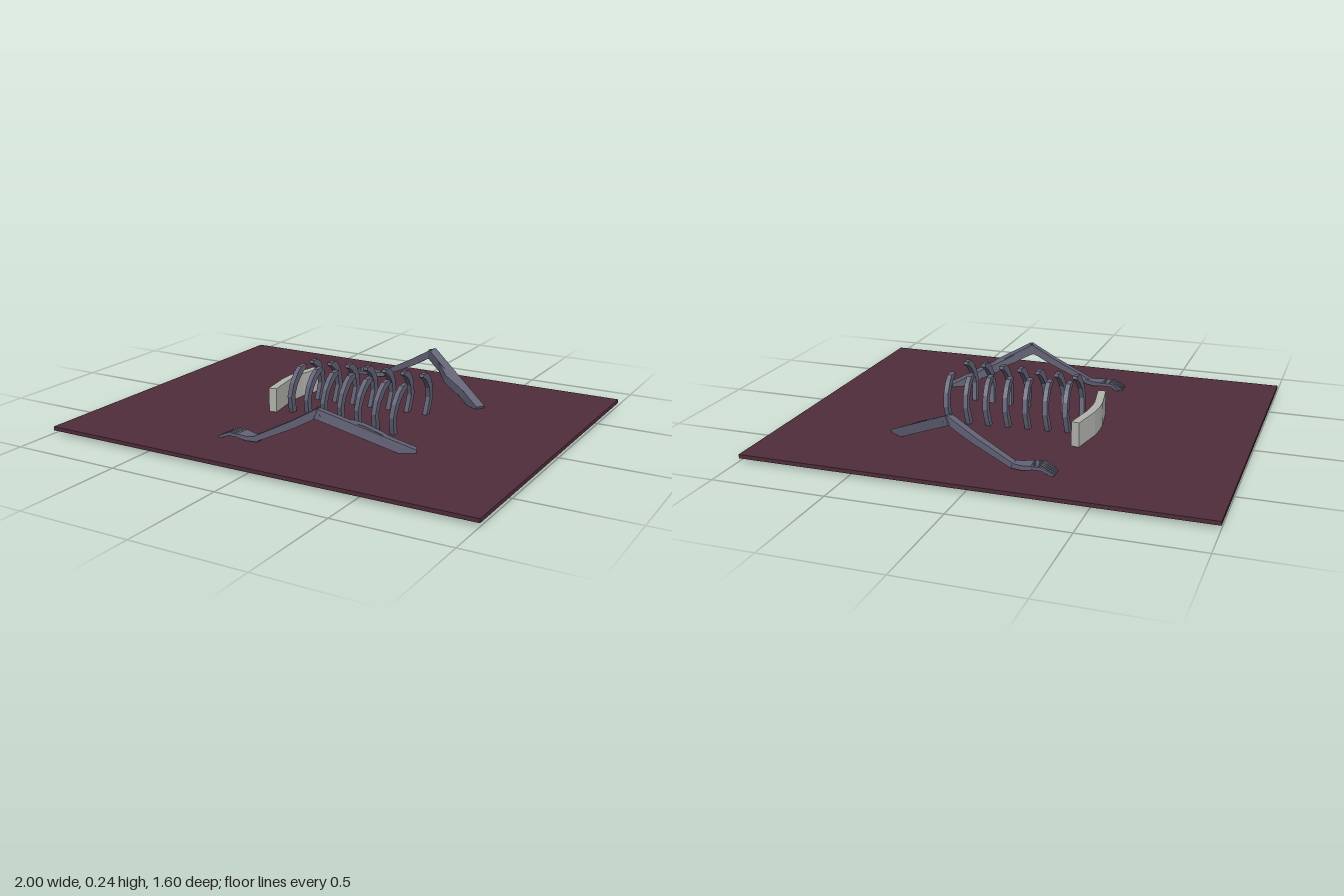
import * as THREE from 'three';

const mat = (name, color, extra = {}) => {
  const m = new THREE.MeshStandardMaterial({ color, ...extra });
  m.name = name;
  return m;
};

// Flat-sided bar through points [x, y, z, width, height]; height lies towards "up".
function bar(points, up) {
  const at = points.map(p => new THREE.Vector3(p[0], p[1], p[2]));
  const last = at.length - 1;
  const rings = points.map((p, i) => {
    const t = at[Math.min(i + 1, last)].clone().sub(at[Math.max(i - 1, 0)]).normalize();
    const side = t.clone().cross(up).normalize();
    const n = side.clone().cross(t);
    return [[1, 1], [1, -1], [-1, -1], [-1, 1]].map(([a, b]) =>
      at[i].clone().addScaledVector(side, a * p[3] / 2).addScaledVector(n, b * p[4] / 2));
  });
  const out = [];
  const quad = (a, b, c, d) => [a, b, c, a, c, d].forEach(v => out.push(v.x, v.y, v.z));
  for (let i = 0; i < last; i++) {
    for (let j = 0; j < 4; j++) {
      const k = (j + 1) % 4;
      quad(rings[i][j], rings[i][k], rings[i + 1][k], rings[i + 1][j]);
    }
  }
  const [s, e] = [rings[0], rings[last]];
  quad(s[0], s[3], s[2], s[1]);
  quad(e[0], e[1], e[2], e[3]);
  const g = new THREE.BufferGeometry();
  g.setAttribute('position', new THREE.Float32BufferAttribute(out, 3));
  g.computeVertexNormals();
  return g;
}

export function createModel() {
  const model = new THREE.Group();
  model.name = 'grave';
  const soil = mat('soil', 0x4f2d3a);
  const stone = mat('stone', 0xb5b5b0);
  const bone = mat('bone', 0x646377, { flatShading: true });
  const Y = new THREE.Vector3(0, 1, 0);
  const X = new THREE.Vector3(1, 0, 0);

  const add = (parent, name, geometry, material) => {
    const m = new THREE.Mesh(geometry, material);
    m.name = name;
    parent.add(m);
    return m;
  };

  // Ground slab
  add(model, 'ground', new THREE.BoxGeometry(2, 0.017, 1.6), soil).position.y = 0.0225;

  // Bowed headstone wall
  add(model, 'headstone', bar([
    [-0.292, 0.07, -0.273, 0.036, 0.14], [-0.319, 0.07, -0.12, 0.036, 0.14],
    [-0.322, 0.07, -0.06, 0.036, 0.14], [-0.319, 0.07, 0, 0.036, 0.14],
    [-0.292, 0.07, 0.153, 0.036, 0.14],
  ], Y), stone);

  // Rib cage: seven pairs widening along the body; profile is [z, y, thickness]
  const ribProfile = [
    [0.105, 0.012, 0.028], [0.119, 0.06, 0.03], [0.131, 0.11, 0.03], [0.116, 0.163, 0.032],
    [0.09, 0.2, 0.034], [0.066, 0.221, 0.032], [0.03, 0.231, 0.014],
  ];
  const ribs = new THREE.Group();
  ribs.name = 'ribCage';
  model.add(ribs);
  for (let i = 0; i < 7; i++) {
    for (const s of [1, -1]) {
      const pts = ribProfile.map(([z, y, w]) =>
        [-0.217 + i * 0.089 + y * 0.07, y, -0.004 + s * (z + i * 0.0075), w, 0.021]);
      add(ribs, s > 0 ? 'leftRib' : 'rightRib', bar(pts, X), bone);
    }
  }

  // Arms, mirrored across the line z = -0.024
  for (const s of [1, -1]) {
    const arm = new THREE.Group();
    arm.name = s > 0 ? 'leftArm' : 'rightArm';
    model.add(arm);
    const limb = (name, pts) => add(arm, name, bar(
      pts.map(([x, y, z, w, h]) => [x, y, -0.024 + s * (z + 0.024), w, h]), Y), bone);

    limb('upperArm', [[0.495, 0.024, 0.303, 0.044, 0.042], [0.15, 0.2, 0.508, 0.042, 0.042]]);
    limb('muscle', [[0.43, 0.06, 0.333, 0.015, 0.02], [0.37, 0.088, 0.364, 0.04, 0.04],
      [0.3, 0.122, 0.392, 0.046, 0.04], [0.2, 0.176, 0.47, 0.015, 0.02]]);
    limb('forearm', [[0.168, 0.205, 0.503, 0.036, 0.034], [0.05, 0.137, 0.515, 0.035, 0.032],
      [-0.125, 0.05, 0.532, 0.031, 0.024]]);
    limb('palm', [[-0.11, 0.05, 0.53, 0.03, 0.022], [-0.16, 0.047, 0.524, 0.055, 0.02],
      [-0.205, 0.053, 0.52, 0.072, 0.016]]);

    // Four fingers and a shorter thumb, bent down at the knuckle
    for (let f = 0; f < 5; f++) {
      const thumb = f === 0;
      const z0 = 0.49 + f * 0.0145;
      const z1 = 0.478 + f * 0.0185;
      const tip = thumb ? -0.285 : -0.302;
      limb(thumb ? 'thumb' : 'finger', [
        [-0.195, 0.052, z0, 0.012, 0.014],
        [-0.25, 0.054, (z0 + z1) / 2, 0.012, 0.014],
        [tip, 0.03, z1, 0.009, 0.011],
      ]);
    }
  }
  return model;
}
